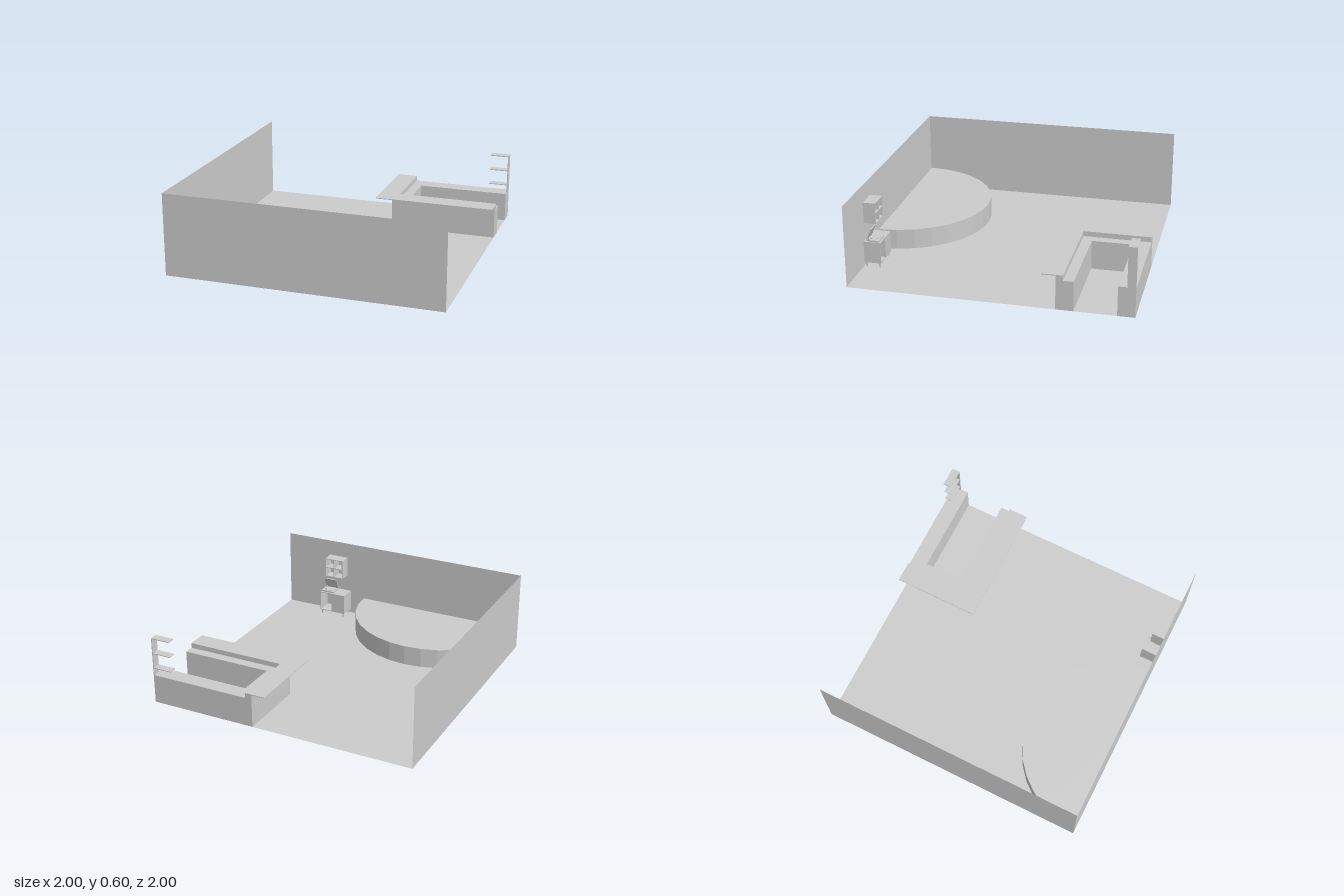
import * as THREE from 'three';

const material = new THREE.MeshStandardMaterial({ color: 0xcccccc, flatShading: true, side: THREE.DoubleSide });

function add(parent, name, geometry) {
  const mesh = new THREE.Mesh(geometry, material);
  mesh.name = name;
  parent.add(mesh);
  return mesh;
}

// Box given by its extents on each axis
function box(parent, name, [x0, x1], [y0, y1], [z0, z1]) {
  const mesh = add(parent, name, new THREE.BoxGeometry(x1 - x0, y1 - y0, z1 - z0));
  mesh.position.set((x0 + x1) / 2, (y0 + y1) / 2, (z0 + z1) / 2);
  return mesh;
}

// Upright prism from an outline of [x, z] points
function slab(parent, name, outline, bottom, top) {
  const shape = new THREE.Shape(outline.map(([x, z]) => new THREE.Vector2(x, z)));
  const geometry = new THREE.ExtrudeGeometry(shape, { depth: top - bottom, bevelEnabled: false });
  geometry.rotateX(Math.PI / 2).translate(0, top, 0);
  return add(parent, name, geometry);
}

function group(parent, name) {
  const g = new THREE.Group();
  g.name = name;
  parent.add(g);
  return g;
}

function buildRoom(root) {
  const room = group(root, 'room');
  add(room, 'floor', new THREE.PlaneGeometry(2, 2).rotateX(-Math.PI / 2));
  add(room, 'frontWall', new THREE.PlaneGeometry(2, 0.6).translate(0, 0.3, 1));
  add(room, 'sideWall', new THREE.PlaneGeometry(2, 0.6).rotateY(Math.PI / 2).translate(-1, 0.3, 0));
}

function buildStage(root) {
  const stage = add(root, 'stage',
    new THREE.CylinderGeometry(0.66, 0.66, 0.15, 16, 1, false, Math.PI / 2, Math.PI));
  stage.position.set(-0.34, 0.075, 0.995);
}

function buildBar(root) {
  const bar = group(root, 'bar');
  // U-shaped base around the serving space
  slab(bar, 'barBase', [
    [1, -1], [0.2, -1], [0.2, -0.465], [1, -0.465],
    [1, -0.587], [0.32, -0.587], [0.32, -0.88], [1, -0.88],
  ], 0, 0.215);
  // Raised ledge and overhanging counter top
  slab(bar, 'barRiser', [
    [0.2, -1], [0.2, -0.465], [1, -0.465], [1, -0.515], [0.25, -0.515], [0.25, -1],
  ], 0.215, 0.247);
  slab(bar, 'counterTop', [
    [0.1, -1], [0.1, -0.367], [1, -0.367], [1, -0.515], [0.25, -0.515], [0.25, -1],
  ], 0.247, 0.253);

  // Bottle rack: end panel with three shelves
  const rack = group(bar, 'bottleRack');
  box(rack, 'rackPanel', [0.994, 1], [0.215, 0.503], [-1, -0.94]);
  for (const y of [0.27, 0.385, 0.5]) {
    box(rack, 'rackShelf', [0.855, 0.994], [y - 0.003, y + 0.003], [-1, -0.94]);
  }
}

function buildCabinet(root) {
  const cabinet = group(root, 'cabinet');
  const t = 0.006;
  const [x0, x1, y0, y1, z0, z1] = [0.437, 0.655, 0.035, 0.195, 0.868, 0.992];
  const middle = 0.55;
  box(cabinet, 'cabinetTop', [x0, x1], [y1 - t, y1], [z0, z1]);
  box(cabinet, 'cabinetBottom', [middle, x1], [y0, y0 + t], [z0, z1]);
  box(cabinet, 'cabinetBack', [middle, x1], [y0 + t, y1 - t], [z1 - t, z1]);
  box(cabinet, 'cabinetSide', [x1 - t, x1], [y0 + t, y1 - t], [z0, z1 - t]);
  box(cabinet, 'cabinetCupboard', [x0, middle], [y0, y1 - t], [z0, z1]);
  for (const x of [x0 + 0.015, x1 - 0.015]) {
    for (const z of [z0 + 0.013, z1 - 0.013]) {
      add(cabinet, 'cabinetLeg', new THREE.CylinderGeometry(0.007, 0.004, y0, 8)).position.set(x, y0 / 2, z);
    }
  }
}

function buildRecordPlayer(root) {
  const player = group(root, 'recordPlayer');
  box(player, 'playerBase', [0.54, 0.648], [0.195, 0.207], [0.88, 0.972]);
  add(player, 'platter', new THREE.CylinderGeometry(0.038, 0.038, 0.004, 24)).position.set(0.587, 0.209, 0.925);
  add(player, 'armPivot', new THREE.CylinderGeometry(0.008, 0.008, 0.008, 12)).position.set(0.636, 0.211, 0.955);
  const path = new THREE.CatmullRomCurve3([
    new THREE.Vector3(0.636, 0.214, 0.955),
    new THREE.Vector3(0.636, 0.215, 0.915),
    new THREE.Vector3(0.612, 0.213, 0.9),
  ]);
  add(player, 'toneArm', new THREE.TubeGeometry(path, 8, 0.002, 6));
  // Open lid, hinged at the wall side and leaning into the room
  const lid = group(player, 'lid');
  lid.position.set(0.594, 0.207, 0.972);
  lid.rotation.x = -0.4;
  box(lid, 'lidPanel', [-0.054, 0.054], [0, 0.09], [-0.003, 0.003]);
}

function buildWallShelf(root) {
  const shelf = group(root, 'wallShelf');
  const t = 0.006;
  const [x0, x1, y0, y1, z0, z1] = [0.47, 0.625, 0.325, 0.48, 0.905, 0.995];
  box(shelf, 'shelfBack', [x0, x1], [y0, y1], [z1 - t, z1]);
  for (const f of [0, 0.5, 1]) {
    const x = x0 + f * (x1 - x0 - t);
    const y = y0 + f * (y1 - y0 - t);
    box(shelf, 'shelfUpright', [x, x + t], [y0, y1], [z0, z1 - t]);
    box(shelf, 'shelfBoard', [x0, x1], [y, y + t], [z0, z1 - t]);
  }
}

export function createModel() {
  const root = new THREE.Group();
  root.name = 'loungeRoom';
  buildRoom(root);
  buildStage(root);
  buildBar(root);
  buildCabinet(root);
  buildRecordPlayer(root);
  buildWallShelf(root);
  return root;
}
